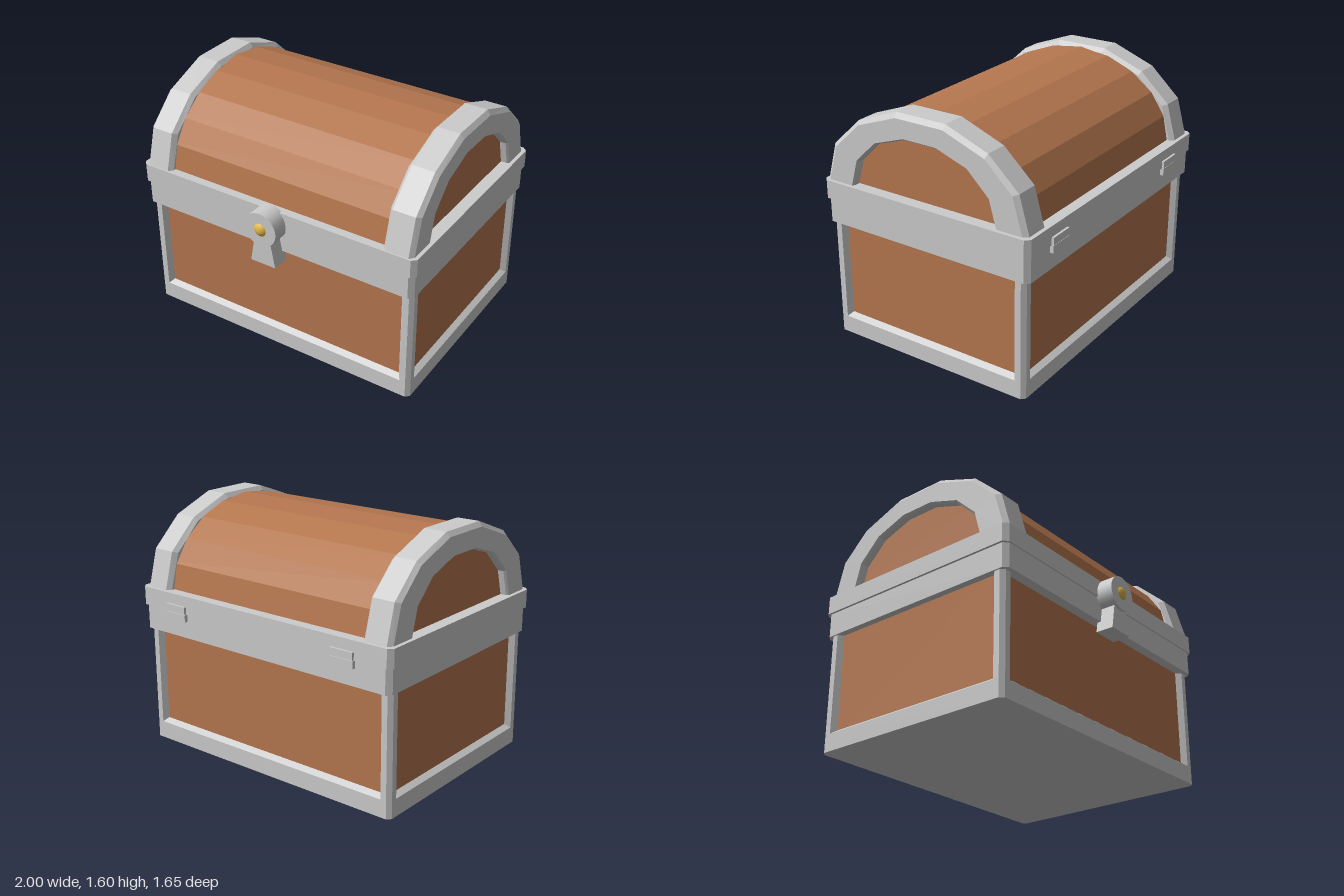
import * as THREE from 'three';

const metal = new THREE.MeshStandardMaterial({ color: 0xcccccc });
const wood = new THREE.MeshStandardMaterial({ color: 0xb5774f });
const gold = new THREE.MeshStandardMaterial({ color: 0xe0b848 });
const ZC = -0.055; // depth centre of the chest body

function add(parent, name, geometry, material, x = 0, y = 0, z = 0) {
  const mesh = new THREE.Mesh(geometry, material);
  mesh.name = name;
  mesh.position.set(x, y, z);
  parent.add(mesh);
  return mesh;
}

// Flat-faced skin over a list of point loops of equal length
function loft(loops, closed) {
  const pos = [];
  const n = loops[0].length;
  for (let i = 0; i < loops.length - 1; i++) {
    for (let j = 0; j < (closed ? n : n - 1); j++) {
      const k = (j + 1) % n;
      const a = loops[i][j], b = loops[i][k], c = loops[i + 1][k], d = loops[i + 1][j];
      pos.push(...a, ...b, ...c, ...a, ...c, ...d);
    }
  }
  const g = new THREE.BufferGeometry();
  g.setAttribute('position', new THREE.Float32BufferAttribute(pos, 3));
  g.computeVertexNormals();
  return g;
}

function extrude(points, depth) {
  const shape = new THREE.Shape(points.map(([x, y]) => new THREE.Vector2(x, y)));
  return new THREE.ExtrudeGeometry(shape, { depth, bevelEnabled: false });
}

// Upright block with chamfered vertical corners, standing on y = 0
function block(hx, hz, height, c) {
  const g = extrude([
    [hx - c, -hz], [hx, c - hz], [hx, hz - c], [hx - c, hz],
    [c - hx, hz], [-hx, hz - c], [-hx, c - hz], [c - hx, -hz],
  ], height);
  return g.rotateX(-Math.PI / 2);
}

// Sloping edge around a recessed panel, facing +z
function panelBevel(hw, y0, y1, b) {
  const rect = (s, z) => [[s - hw, y0 + s, z], [hw - s, y0 + s, z], [hw - s, y1, z], [s - hw, y1, z]];
  return loft([rect(0, 0), rect(b, -0.036)], true);
}

// Symmetric arch profile at one x from half-points [z, y]
function archLoop(half, x) {
  const back = half.map(([z, y]) => [x, y, -z]).reverse();
  return [...half.map(([z, y]) => [x, y, z]), ...back];
}

export function createModel() {
  const chest = new THREE.Group();
  chest.name = 'treasureChest';

  // Lower box: recessed wood, base band and corner posts
  const body = new THREE.Group();
  body.name = 'body';
  body.position.z = ZC;
  chest.add(body);
  const HX = 0.975, HZ = 0.715, POST = 0.065;
  add(body, 'woodPanels', new THREE.BoxGeometry(2 * HX - 0.07, 0.8, 2 * HZ - 0.07), wood, 0, 0.45);
  add(body, 'baseBand', block(HX, HZ, 0.115, 0.025), metal);
  const postShape = [[-POST, -POST], [0, -POST], [0, -0.025], [-0.025, 0], [-POST, 0]];
  for (const sx of [-1, 1]) {
    for (const sz of [-1, 1]) {
      const pts = postShape.map(([x, z]) => [sx * (HX + x), -sz * (HZ + z)]);
      add(body, 'cornerPost', extrude(pts, 0.72).rotateX(-Math.PI / 2), metal, 0, 0.1, 0);
    }
  }
  for (let i = 0; i < 4; i++) {
    const side = i % 2 === 1;
    const half = side ? HZ : HX, out = side ? HX : HZ;
    const geo = panelBevel(half - POST, 0.115, 0.8, 0.025).translate(0, 0, out);
    add(body, 'panelBevel', geo, metal).rotation.y = i * Math.PI / 2;
  }

  // Rims of box and lid
  add(body, 'boxRim', block(0.985, 0.745, 0.16, 0.03), metal, 0, 0.78);
  add(body, 'lidRim', block(1.0, 0.755, 0.12, 0.03), metal, 0, 0.94);

  // Barrel lid in ten flat staves
  const lid = new THREE.Group();
  lid.name = 'lid';
  lid.position.z = -0.047;
  chest.add(lid);
  const stave = [];
  for (let i = 0; i <= 10; i++) {
    const a = i * Math.PI / 10;
    stave.push([0.69 * Math.cos(a), 1.06 + 0.525 * Math.sin(a)]);
  }
  stave.push([-0.69, 1.04], [0.69, 1.04]);
  add(lid, 'barrelLid', extrude(stave, 1.84).translate(0, 0, -0.92).rotateY(Math.PI / 2), wood);

  // Chamfered metal arches at both ends of the lid
  const outer = [[0.74, 1.05], [0.67, 1.3], [0.465, 1.49], [0.175, 1.6]];
  const chamfer = [[0.71, 1.05], [0.64, 1.29], [0.455, 1.465], [0.17, 1.57]];
  const opening = [[0.535, 1.05], [0.483, 1.235], [0.335, 1.378], [0.118, 1.453]];
  const inner = [[0.525, 1.05], [0.474, 1.228], [0.328, 1.37], [0.115, 1.443]];
  const arch = loft([
    archLoop(inner, 0.91), archLoop(inner, 0.96), archLoop(opening, 0.975),
    archLoop(chamfer, 0.975), archLoop(outer, 0.95), archLoop(outer, 0.8),
    archLoop(chamfer, 0.775), archLoop(inner, 0.775),
  ], false);
  for (const turn of [0, Math.PI]) add(lid, 'endArch', arch, metal).rotation.y = turn;

  // Lock: round boss, flared plate and gold knob
  const lock = new THREE.Group();
  lock.name = 'lock';
  chest.add(lock);
  const boss = new THREE.CylinderGeometry(0.115, 0.115, 0.125, 24).rotateX(Math.PI / 2);
  add(lock, 'lockBoss', boss, metal, 0, 0.97, 0.7425);
  const plate = [[-0.09, 0.71], [0.09, 0.71], [0.055, 0.9], [-0.055, 0.9]];
  add(lock, 'lockPlate', extrude(plate, 0.12), metal, 0, 0, 0.665);
  add(lock, 'lockKnob', new THREE.SphereGeometry(0.058, 24, 16), gold, 0, 0.97, 0.767);

  // Two-leaf hinges on the back
  for (const x of [-0.66, 0.68]) {
    add(chest, 'hingeUpperLeaf', new THREE.BoxGeometry(0.165, 0.048, 0.04), metal, x, 0.967, -0.805);
    add(chest, 'hingeLowerLeaf', new THREE.BoxGeometry(0.165, 0.048, 0.04), metal, x, 0.915, -0.803);
  }
  return chest;
}
